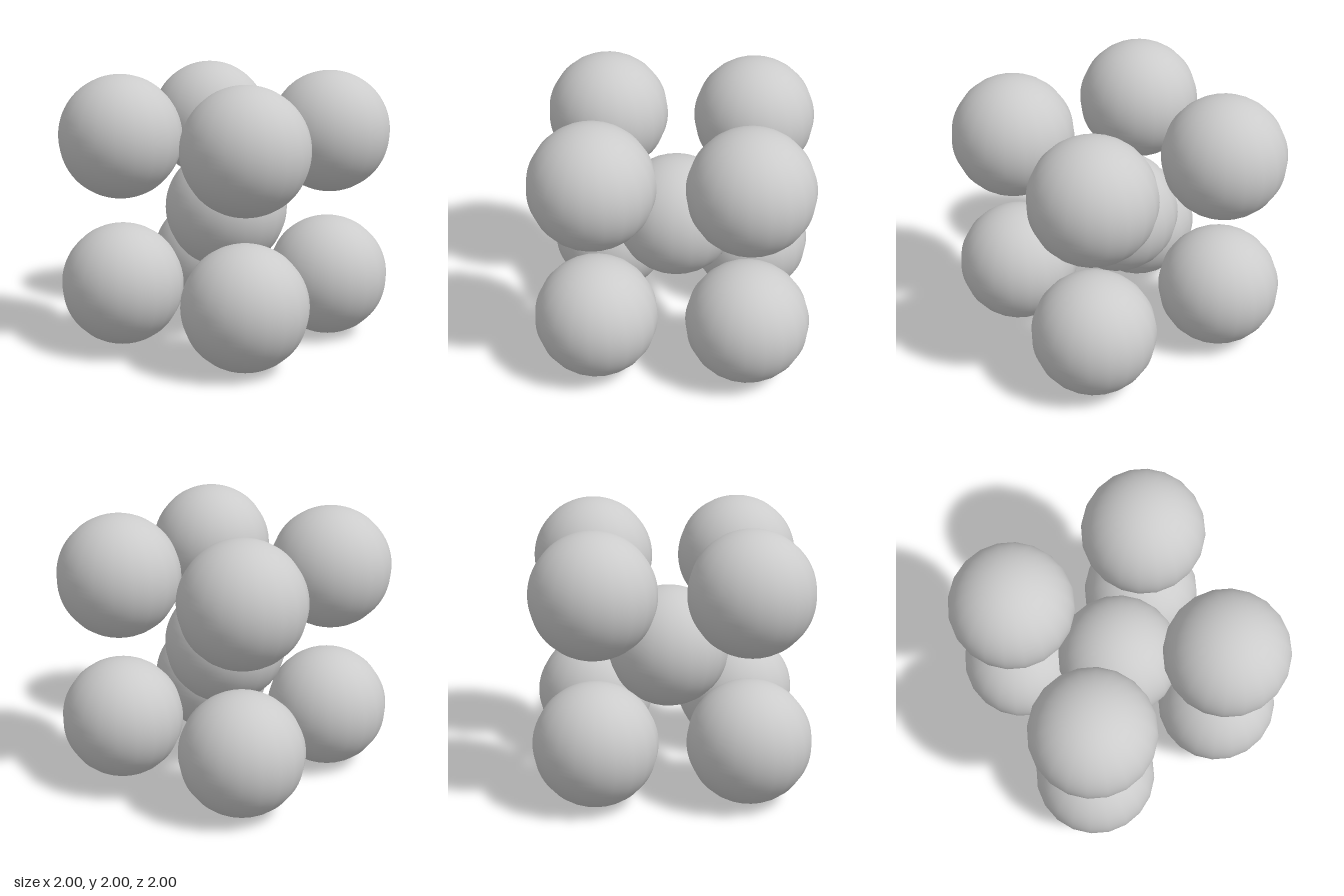
import * as THREE from 'three';

// Body-centred cubic cell: eight corner spheres around a central one
export function createModel() {
  const group = new THREE.Group();
  group.name = 'bodyCentredCubicCell';
  const radius = 0.45;
  const offset = 1 - radius;
  const geometry = new THREE.SphereGeometry(radius, 20, 40);
  const material = new THREE.MeshStandardMaterial({ color: 0xcccccc });

  const addSphere = (name, x, y, z) => {
    const mesh = new THREE.Mesh(geometry, material);
    mesh.name = name;
    mesh.position.set(x, y, z);
    group.add(mesh);
  };

  // Central sphere
  addSphere('centreSphere', 0, 1, 0);

  // Corner spheres
  for (const [level, y] of [['lower', -1], ['upper', 1]])
    for (const [depth, z] of [['Back', -1], ['Front', 1]])
      for (const [side, x] of [['Right', -1], ['Left', 1]])
        addSphere(`${level}${depth}${side}Sphere`, x * offset, 1 + y * offset, z * offset);

  return group;
}
